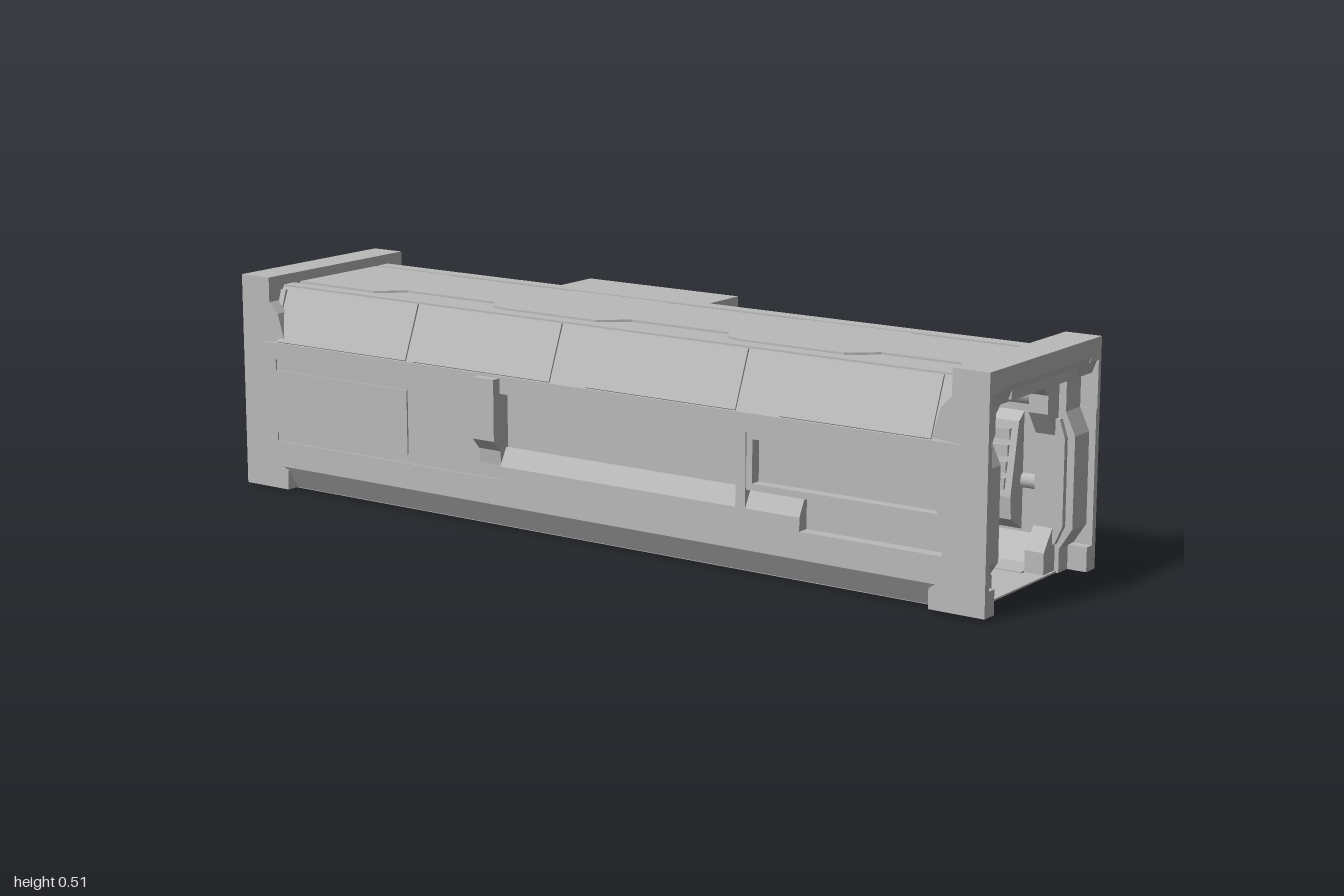
import * as THREE from 'three';

export function createModel() {
  const root = new THREE.Group();
  root.name = 'corridorModule';
  const grey = new THREE.MeshStandardMaterial({ color: 0xbababa, side: THREE.DoubleSide });
  grey.name = 'hull grey';
  const CX = -0.046;                       // the tube sits off centre
  const mx = x => 2 * CX - x;              // mirror across the tube's axis

  const add = (name, geo) => {
    const m = new THREE.Mesh(geo, grey);
    m.name = name;
    root.add(m);
    return m;
  };
  const box = (name, x0, x1, y0, y1, z0, z1) => {
    const m = add(name, new THREE.BoxGeometry(Math.abs(x1 - x0), y1 - y0, Math.abs(z1 - z0)));
    m.position.set((x0 + x1) / 2, (y0 + y1) / 2, (z0 + z1) / 2);
    return m;
  };
  const shapeOf = pts => new THREE.Shape(pts.map(p => new THREE.Vector2(...p)));
  // (x, y) section swept along z
  const sweepZ = (name, pts, z0, z1, hole) => {
    const s = shapeOf(pts);
    if (hole) s.holes.push(shapeOf(hole));
    const g = new THREE.ExtrudeGeometry(s, { depth: z1 - z0, bevelEnabled: false });
    g.translate(0, 0, z0);
    return add(name, g);
  };
  // (z, y) section swept along x
  const sweepX = (name, pts, x0, x1) => {
    const g = new THREE.ExtrudeGeometry(shapeOf(pts), { depth: x1 - x0, bevelEnabled: false });
    g.rotateY(-Math.PI / 2).translate(x1, 0, 0);
    return add(name, g);
  };
  const pipe = (name, r, x, y, z0, z1) => {
    const m = add(name, new THREE.CylinderGeometry(r, r, z1 - z0, 12));
    m.rotation.x = Math.PI / 2;
    m.position.set(x, y, (z0 + z1) / 2);
  };
  // bar on a side wall between two (z, y) points
  const bar = (name, x, t, w, a, b) => {
    const m = add(name, new THREE.BoxGeometry(t, w, Math.hypot(b[0] - a[0], b[1] - a[1])));
    m.position.set(x, (a[1] + b[1]) / 2, (a[0] + b[0]) / 2);
    m.rotation.x = -Math.atan2(b[1] - a[1], b[0] - a[0]);
  };
  const frame = (name, x0, x1, y0, y1, z0, z1, w) => {
    box(name, x0, x1, y0, y0 + w, z0, z1);
    box(name, x0, x1, y1 - w, y1, z0, z1);
    box(name, x0, x1, y0 + w, y1 - w, z0, z0 + w);
    box(name, x0, x1, y0 + w, y1 - w, z1 - w, z1);
  };

  // Hull shell, with the -x wall set back for its long recess
  sweepZ('hullShell',
    [[-0.25, 0.006], [0.158, 0.006], [0.191, 0.06], [0.191, 0.355], [0.141, 0.481], [-0.233, 0.481],
      [-0.283, 0.355], [-0.255, 0.35], [-0.255, 0.065], [-0.283, 0.06]], -0.95, 0.95,
    [[-0.225, 0.01], [0.135, 0.01], [0.178, 0.065], [0.178, 0.35], [0.13, 0.463], [-0.222, 0.463],
      [-0.245, 0.35], [-0.245, 0.065]]);

  // Roof: raised centre plate with stepped edges, between two straight strips
  const half = [];
  [-0.91, -0.62, -0.3, 0.02, 0.34, 0.66, 0.91].forEach((z, i, a) => {
    const w = i % 2 ? 0.085 : 0.135, next = i % 2 ? 0.135 : 0.085;
    half.push([w, z]);
    if (i < a.length - 1) half.push([w, a[i + 1] - 0.06], [(w + next) / 2 + 0.01, a[i + 1] - 0.04]);
  });
  const roof = new THREE.ExtrudeGeometry(
    shapeOf([...half, ...half.slice().reverse().map(([w, z]) => [-w, z])]), { depth: 0.005, bevelEnabled: false });
  roof.rotateX(Math.PI / 2).translate(CX, 0.486, 0);
  add('roofPlate', roof);
  for (const s of [-1, 1]) box('roofStrip', CX + s * 0.15, CX + s * 0.185, 0.48, 0.485, -0.92, 0.92);

  // End frames, built at the front and turned for the back
  const portal = [[-0.157, 0.008], [-0.157, 0.058], [-0.192, 0.105], [-0.192, 0.305],
    [-0.157, 0.355], [-0.157, 0.395], [-0.122, 0.428]];
  const opening = [...portal, ...portal.slice().reverse().map(([x, y]) => [mx(x), y])];
  const ringOuter = [[-0.25, 0.005], [0.158, 0.005], [0.19, 0.06], [0.19, 0.355], [0.15, 0.475], [-0.242, 0.475],
    [-0.282, 0.355], [-0.282, 0.06]];
  for (const s of [1, -1]) {
    const dir = pts => pts.map(([z, y]) => [z * s, y]);
    const zs = (a, b) => (s > 0 ? [a, b] : [-b, -a]);
    sweepZ('portalRing', ringOuter, ...zs(0.9, 0.945), opening);
    sweepX('topBeam', dir([[0.915, 0.508], [1, 0.508], [1, 0.468], [0.985, 0.43], [0.915, 0.43]]), -0.283, 0.191);
    box('beamLip', -0.185, 0.093, 0.436, 0.46, s * 0.98, s * 0.995);
    for (const side of [0, 1]) {
      const span = (a, b) => (side ? [mx(b), mx(a)] : [a, b]);
      sweepX('doorPost', dir([[0.93, 0.43], [0.962, 0.43], [0.962, 0.355], [0.985, 0.305], [0.985, 0.105],
        [0.955, 0.058], [0.955, 0.006], [0.93, 0.006]]), ...span(-0.268, -0.205));
      sweepX('postLiner', dir([[0.93, 0.34], [0.955, 0.34], [0.968, 0.3], [0.968, 0.11], [0.95, 0.07], [0.93, 0.07]]),
        ...span(-0.205, -0.192));
      sweepX('topBracket', dir([[1, 0.508], [0.915, 0.508], [0.915, 0.45], [0.89, 0.425], [0.87, 0.36],
        [0.945, 0.355], [0.96, 0.43], [1, 0.46]]), ...span(-0.283, -0.235));
      sweepX('cheekPlate', dir([[0.9, 0.355], [1, 0.355], [1, 0.058], [0.9, 0.058]]), ...span(-0.283, -0.268));
      sweepX('foot', dir([[0.87, 0.05], [0.885, 0.06], [1, 0.06], [1, 0.006], [0.87, 0.006]]), ...span(-0.283, -0.245));
      sweepX('cheekTop', dir([[0.94, 0.46], [1, 0.46], [1, 0.355], [0.94, 0.355]]), ...span(-0.283, -0.272));
    }
  }

  // Right wall (+x): panels split by seams, with sloped panels above
  const seams = [0.948, 0.76, 0.53, 0.29, 0.045];
  const panels = seams.slice(1).map((z, i) => [z + 0.003, seams[i] - 0.003]);
  panels.push([-0.665, -0.385], [-0.948, -0.671]);
  for (const [z0, z1] of panels) {
    box('wallPanelLower', 0.19, 0.196, 0.062, 0.15, z0, z1);
    box('wallPanelUpper', 0.19, 0.196, 0.205, 0.352, z0, z1);
    sweepZ('slopePanel', [[0.191, 0.357], [0.196, 0.357], [0.147, 0.481], [0.141, 0.481]],
      Math.max(z0, -0.88), Math.min(z1, 0.88));
    for (let z = z0 + 0.04; z < z1 - 0.03; z += 0.05) {
      box('rivet', 0.195, 0.198, 0.118, 0.122, z, z + 0.008);
      if (z0 > 0) box('rivet', 0.195, 0.198, 0.245, 0.249, z, z + 0.008);
    }
    box('clip', 0.19, 0.203, 0.118, 0.13, (z0 + z1) / 2 - 0.015, (z0 + z1) / 2 + 0.015);
    box('slopeClip', 0.175, 0.187, 0.38, 0.395, (z0 + z1) / 2 - 0.006, (z0 + z1) / 2 + 0.006);
  }
  pipe('wallPipe', 0.018, 0.184, 0.178, 0.04, 0.92);
  pipe('wallPipe', 0.018, 0.184, 0.178, -0.93, -0.37);
  frame('windowFrame', 0.195, 0.2, 0.21, 0.335, -0.645, -0.43, 0.008);
  frame('windowFrame', 0.195, 0.2, 0.21, 0.335, -0.955, -0.735, 0.008);
  frame('hatchFrame', 0.195, 0.199, 0.215, 0.35, 0.06, 0.28, 0.004);
  bar('hatchHandle', 0.199, 0.008, 0.01, [0.16, 0.28], [0.1, 0.28]);
  bar('hatchHandle', 0.199, 0.008, 0.01, [0.1, 0.285], [0.1, 0.215]);

  // Equipment module on the right wall
  box('equipmentBox', 0.13, 0.253, 0.008, 0.485, -0.38, 0.043);
  frame('equipmentFrame', 0.253, 0.259, 0.07, 0.483, -0.375, 0.038, 0.01);
  for (const [a, b] of [[[0.01, 0.475], [-0.17, 0.352]], [[-0.35, 0.475], [-0.17, 0.352]],
    [[0.01, 0.09], [-0.17, 0.34]], [[-0.3, 0.25], [-0.17, 0.34]], [[0.035, 0.365], [-0.37, 0.365]],
    [[0.035, 0.345], [-0.28, 0.345]]]) bar('crossBrace', 0.257, 0.01, 0.01, a, b);
  for (const y of [0.452, 0.362]) box('equipmentLatch', 0.253, 0.265, y, y + 0.012, -0.36, -0.33);
  for (const z of [-0.375, -0.343, -0.311])
    sweepZ('conduit', [[0.25, 0.35], [0.265, 0.35], [0.305, 0.275], [0.305, 0.085], [0.265, 0.025], [0.25, 0.025],
      [0.25, 0.055], [0.285, 0.095], [0.285, 0.265], [0.25, 0.315]], z, z + 0.026);
  box('conduitClamp', 0.25, 0.29, 0.1, 0.125, -0.38, -0.28);
  box('junctionBox', 0.15, 0.262, 0.025, 0.062, -0.28, -0.15);
  box('undersideBox', 0.125, 0.2, 0, 0.03, -0.36, -0.1);

  // Left wall (-x): solid panels around the long recess
  box('leftLowerRail', -0.283, -0.25, 0.06, 0.12, -0.95, 0.95);
  box('leftUpperRail', -0.283, -0.25, 0.315, 0.355, -0.95, 0.95);
  box('leftRearPanel', -0.279, -0.25, 0.12, 0.315, -0.95, -0.23);
  box('leftRearInset', -0.283, -0.275, 0.14, 0.29, -0.9, -0.5);
  box('leftFrontPanel', -0.283, -0.25, 0.12, 0.315, 0.9, 0.95);
  box('recessPost', -0.283, -0.25, 0.12, 0.315, 0.4, 0.425);
  frame('recessFrame', -0.28, -0.255, 0.19, 0.315, 0.425, 0.9, 0.015);
  sweepZ('recessTrough', [[-0.25, 0.19], [-0.262, 0.19], [-0.283, 0.15], [-0.283, 0.12], [-0.25, 0.12]], -0.23, 0.56);
  sweepZ('leftConduit', [[-0.27, 0.35], [-0.305, 0.35], [-0.305, 0.21], [-0.283, 0.185], [-0.275, 0.12], [-0.265, 0.12]],
    -0.29, -0.23);
  for (const z of [-0.9, -0.49, 0.0, 0.5])
    sweepZ('leftSlopePanel', [[-0.283, 0.357], [-0.286, 0.359], [-0.238, 0.481], [-0.233, 0.481]], z + 0.01, Math.min(z + 0.4, 0.87));

  // Underside: panel ribs with diagonals
  const ribZ = [-0.93, -0.56, -0.19, 0.19, 0.56, 0.93];
  ribZ.forEach((z, i) => {
    box('undersideRib', -0.245, 0.153, 0.003, 0.007, z - 0.006, z + 0.006);
    if (i === 5) return;
    const dz = ribZ[i + 1] - z;
    for (const d of i % 2 ? [1] : [-1, 1]) {
      const m = add('undersideDiagonal', new THREE.BoxGeometry(0.006, 0.003, Math.hypot(0.2, dz / 2)));
      m.position.set(CX - 0.1, 0.0055, z + dz / 2 + d * dz / 4);
      m.rotation.y = d * Math.atan2(0.2, dz / 2);
    }
  });
  for (const x of [-0.245, 0.147]) box('undersideEdge', x, x + 0.006, 0.003, 0.007, -0.94, 0.94);

  // Interior: stacked pipes on the left wall, consoles on the right
  for (let i = 0; i < 6; i++) pipe('interiorPipe', 0.015, -0.222, 0.1 + i * 0.036, -0.89, -0.1);
  sweepZ('interiorCabinet', [[-0.246, 0.09], [-0.2, 0.11], [-0.2, 0.28], [-0.246, 0.33]], 0.0, 0.75);
  pipe('ceilingDuct', 0.025, -0.208, 0.385, -0.9, 0.9);
  pipe('ceilingDuct', 0.025, 0.116, 0.385, -0.9, 0.9);
  for (let z = -0.87; z < 0.8; z += 0.29) {
    sweepZ('console', [[0.179, 0.07], [0.13, 0.1], [0.125, 0.15], [0.155, 0.31], [0.179, 0.33]], z, z + 0.25);
    for (let r = 0; r < 4; r++) for (let c = 0; c < 4; c++) {
      const y = 0.165 + r * 0.035, x = 0.125 + (y - 0.15) * 0.1875;
      box('consoleKey', x - 0.004, x + 0.012, y, y + 0.024, z + 0.015 + c * 0.058, z + 0.06 + c * 0.058);
    }
  }
  for (const x of [-0.165, 0.067]) box('floorStrip', x - 0.015, x + 0.015, 0.009, 0.013, -0.9, 0.9);
  return root;
}
